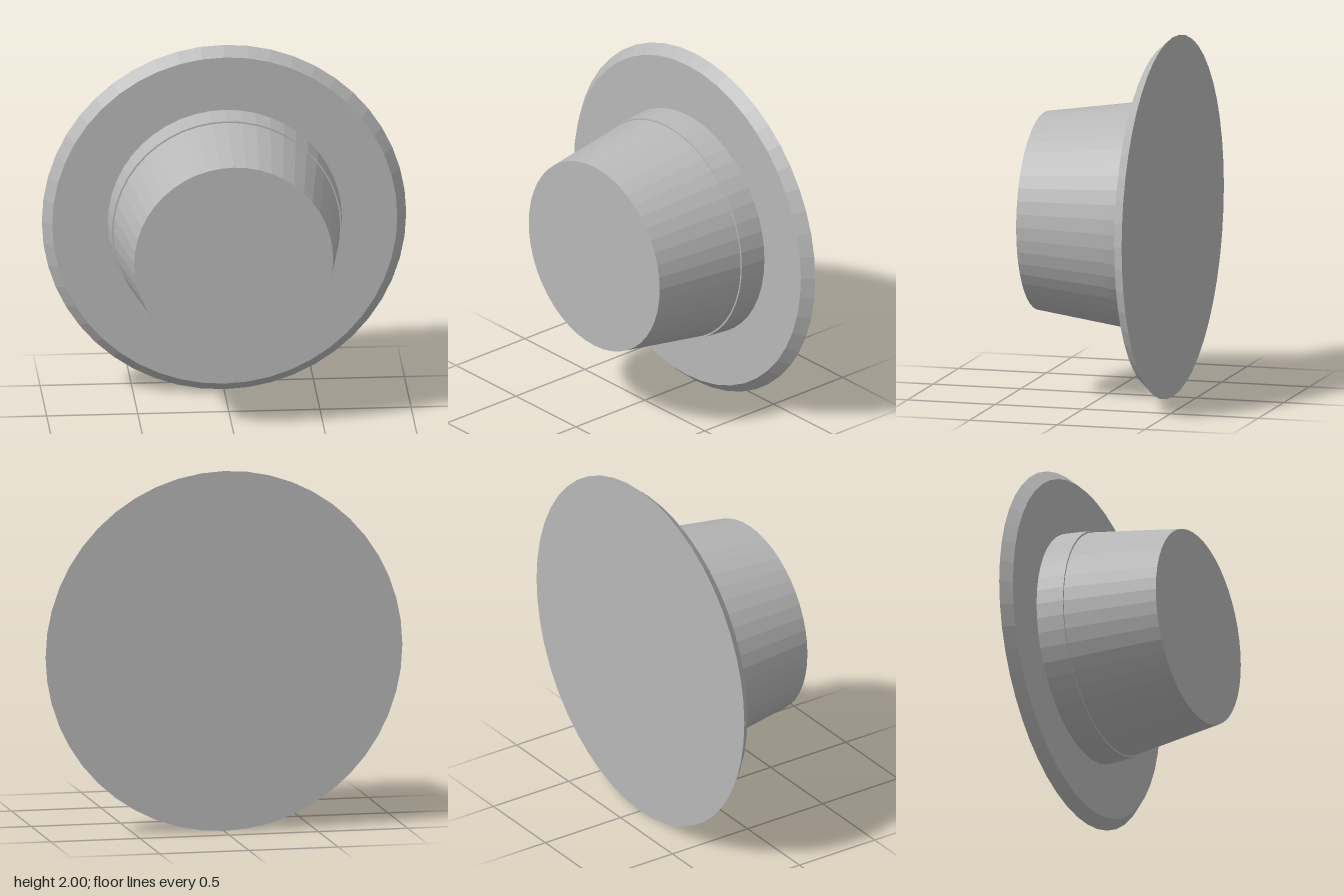
import * as THREE from 'three';

const SEGMENTS = 48;

export function createModel() {
  const model = new THREE.Group();
  model.name = 'flangedPlug';
  const grey = new THREE.MeshStandardMaterial({ color: 0xb8b8b8, flatShading: true });
  grey.name = 'plain grey';

  // Tapered disc along z, from the back plane to the front plane
  function taper(name, backZ, frontZ, backRadius, frontRadius) {
    const geometry = new THREE.CylinderGeometry(frontRadius, backRadius, frontZ - backZ, SEGMENTS);
    geometry.rotateX(Math.PI / 2);
    const mesh = new THREE.Mesh(geometry, grey);
    mesh.name = name;
    mesh.position.set(0, 1, (backZ + frontZ) / 2);
    model.add(mesh);
  }

  // Wide plate with a bevelled rim
  taper('flange', -0.367, -0.309, 1, 0.947);
  // Slightly wider band at the root of the plug
  taper('collar', -0.309, -0.155, 0.643, 0.631);
  // Long tapered plug with a flat end
  taper('plug', -0.155, 0.367, 0.622, 0.546);

  return model;
}
